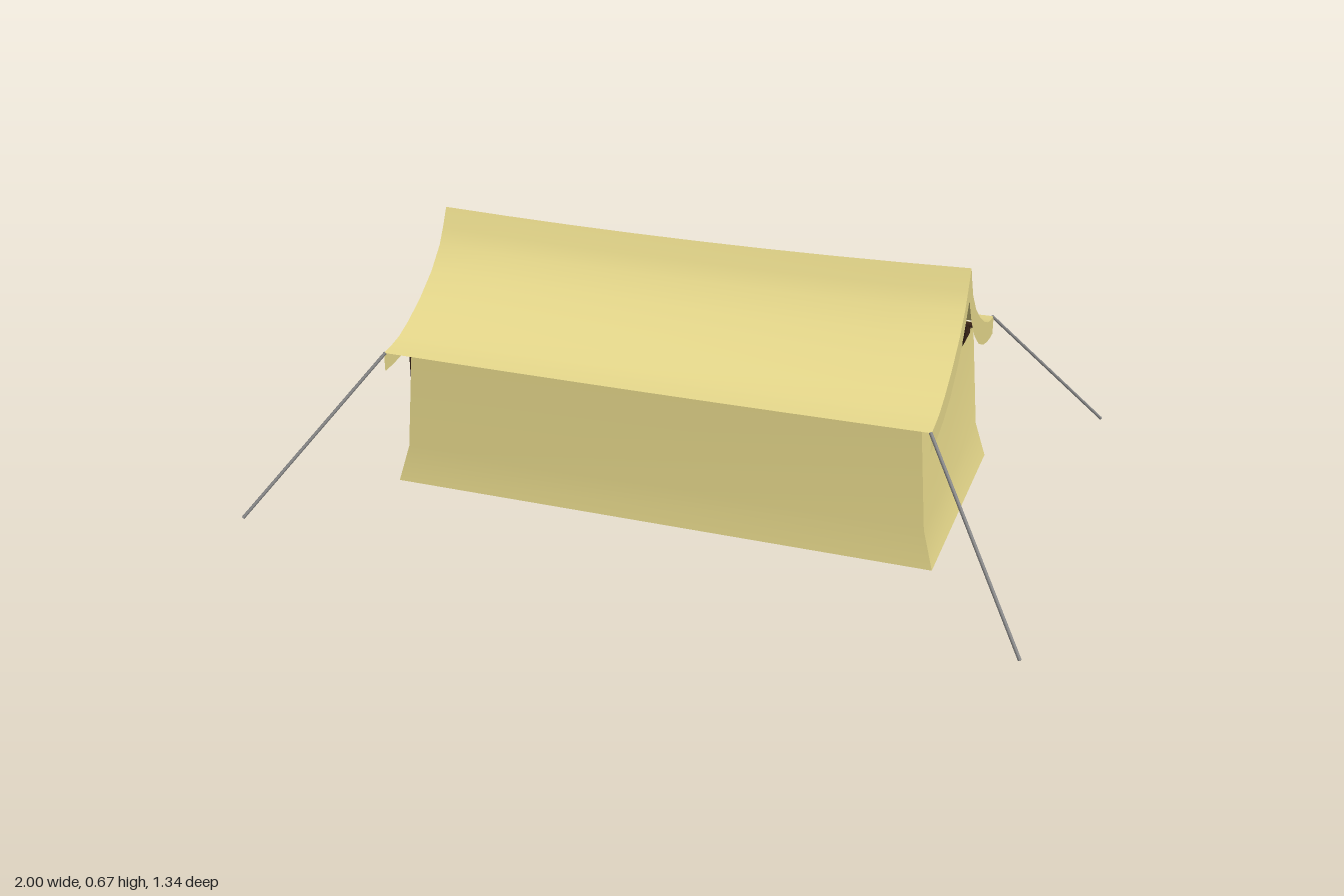
import * as THREE from 'three';

// Piecewise-linear lookup through [key, value] pairs
function lerpTable(table, k) {
  for (let i = 1; i < table.length; i++) {
    const [a, va] = table[i - 1], [b, vb] = table[i];
    if (k <= b) return va + (vb - va) * (k - a) / (b - a);
  }
  return table[table.length - 1][1];
}

// Smooth surface from a grid of points: fn(u, v) for each pair of parameters
function sheet(us, vs, fn) {
  const pos = [], idx = [], n = us.length;
  for (const v of vs) for (const u of us) pos.push(...fn(u, v));
  for (let j = 0; j < vs.length - 1; j++) {
    for (let i = 0; i < n - 1; i++) {
      const a = j * n + i, b = a + 1, c = a + n, d = c + 1;
      idx.push(a, b, d, a, d, c);
    }
  }
  const g = new THREE.BufferGeometry();
  g.setAttribute('position', new THREE.Float32BufferAttribute(pos, 3));
  g.setIndex(idx);
  g.computeVertexNormals();
  return g;
}

export function createModel() {
  const root = new THREE.Group();
  root.name = 'tent';
  const canvas = new THREE.MeshStandardMaterial({ color: 0xe6d88b, side: THREE.DoubleSide });
  canvas.name = 'canvas';
  const wood = new THREE.MeshStandardMaterial({ color: 0x3a2418 });
  wood.name = 'dark wood';
  const cord = new THREE.MeshStandardMaterial({ color: 0x8c8c8c });
  cord.name = 'grey cord';

  const add = (name, geometry, material) => {
    const m = new THREE.Mesh(geometry, material);
    m.name = name;
    root.add(m);
    return m;
  };
  const rod = (name, a, b, r, material, sides = 8) => {
    const p = new THREE.Vector3(...a), q = new THREE.Vector3(...b);
    const m = add(name, new THREE.CylinderGeometry(r, r, p.distanceTo(q), sides), material);
    m.position.copy(p).add(q).multiplyScalar(0.5);
    m.quaternion.setFromUnitVectors(new THREE.Vector3(0, 1, 0), q.sub(p).normalize());
  };

  // Walls flare out towards the ground
  const wallX = y => lerpTable([[0, 0.725], [0.1, 0.697], [0.385, 0.675]], y);
  const wallZ = y => lerpTable([[0, 0.335], [0.1, 0.321], [0.385, 0.312]], y);
  const rows = [0, 0.1, 0.17, 0.19, 0.21, 0.225, 0.238, 0.246, 0.25, 0.385];
  const doorHalf = y => y <= 0.17 ? 0.08 : Math.sqrt(Math.max(0, 0.0064 - (y - 0.17) ** 2));
  for (const s of [1, -1]) {
    add('sideWall', sheet([-s, s], [0, 0.1, 0.385, 0.398],
      (u, y) => [u * wallX(y), y, s * wallZ(y)]), canvas);
  }
  add('rearEndWall', sheet([1, -1], [0, 0.1, 0.385],
    (u, y) => [wallX(y), y, u * wallZ(y)]), canvas);
  // End wall with the arched doorway, one panel on each side of it
  for (const s of [1, -1]) {
    const us = s > 0 ? [0, 1] : [1, 0];
    add('doorEndWall', sheet(us, rows, (u, y) => {
      const inner = doorHalf(y);
      return [-wallX(y), y, s * (inner + (wallZ(y) - inner) * u)];
    }), canvas);
  }
  add('floor', sheet([-0.725, 0.725], [0.335, -0.335], (x, z) => [x, 0, z]), canvas);

  // Roof: two concave slopes that sag slightly in the middle
  const roofTop = [[0, 0.665], [0.025, 0.615], [0.05, 0.573], [0.104, 0.518], [0.176, 0.467],
    [0.248, 0.428], [0.302, 0.406], [0.345, 0.397], [0.385, 0.392]];
  const bandBottom = [[0, 0.58], [0.025, 0.54], [0.05, 0.503], [0.104, 0.445], [0.176, 0.394],
    [0.248, 0.363], [0.302, 0.349], [0.345, 0.343], [0.385, 0.341]];
  const depths = roofTop.map(p => p[0]);
  const half = 0.715;
  const lengths = [-1, -0.75, -0.5, -0.25, 0, 0.25, 0.5, 0.75, 1];
  for (const s of [1, -1]) {
    add('roofSlope', sheet(lengths.map(t => -s * t), depths, (t, z) => {
      const sag = (1 - t * t) * (0.003 + 0.01 * (1 - z / 0.385));
      return [t * half, lerpTable(roofTop, z) - sag, s * z];
    }), canvas);
    // Valances hanging below both ends of each slope
    for (const e of [1, -1]) {
      add('valance', sheet(s * e > 0 ? [1, 0] : [0, 1], depths,
        (u, z) => [e * half, lerpTable(u ? roofTop : bandBottom, z), s * z]), canvas);
    }
  }

  // Frame: side rails, end bars, king posts, corner posts and ridge pole
  for (const s of [1, -1]) {
    rod('sideRail', [-0.7, 0.3935, s * 0.3], [0.7, 0.3935, s * 0.3], 0.008, wood);
  }
  for (const x of [-0.672, 0.64]) {
    rod('endBar', [x, 0.396, -0.3], [x, 0.396, 0.3], 0.008, wood);
    rod('kingPost', [x, 0.39, 0], [x, 0.62, 0], 0.01, wood);
  }
  for (const x of [-0.68, 0.66]) {
    for (const z of [-0.3, 0.3]) rod('cornerPost', [x, 0.002, z], [x, 0.39, z], 0.009, wood);
  }
  rod('ridgePole', [-0.69, 0.615, 0], [0.69, 0.615, 0], 0.01, wood);

  // Guy ropes from the eave corners to the ground
  for (const x of [1, -1]) {
    for (const z of [1, -1]) {
      rod('guyRope', [x * 0.712, 0.392, z * 0.383], [x * 0.997, 0.006, z * 0.668], 0.0045, cord, 6);
    }
  }
  return root;
}
